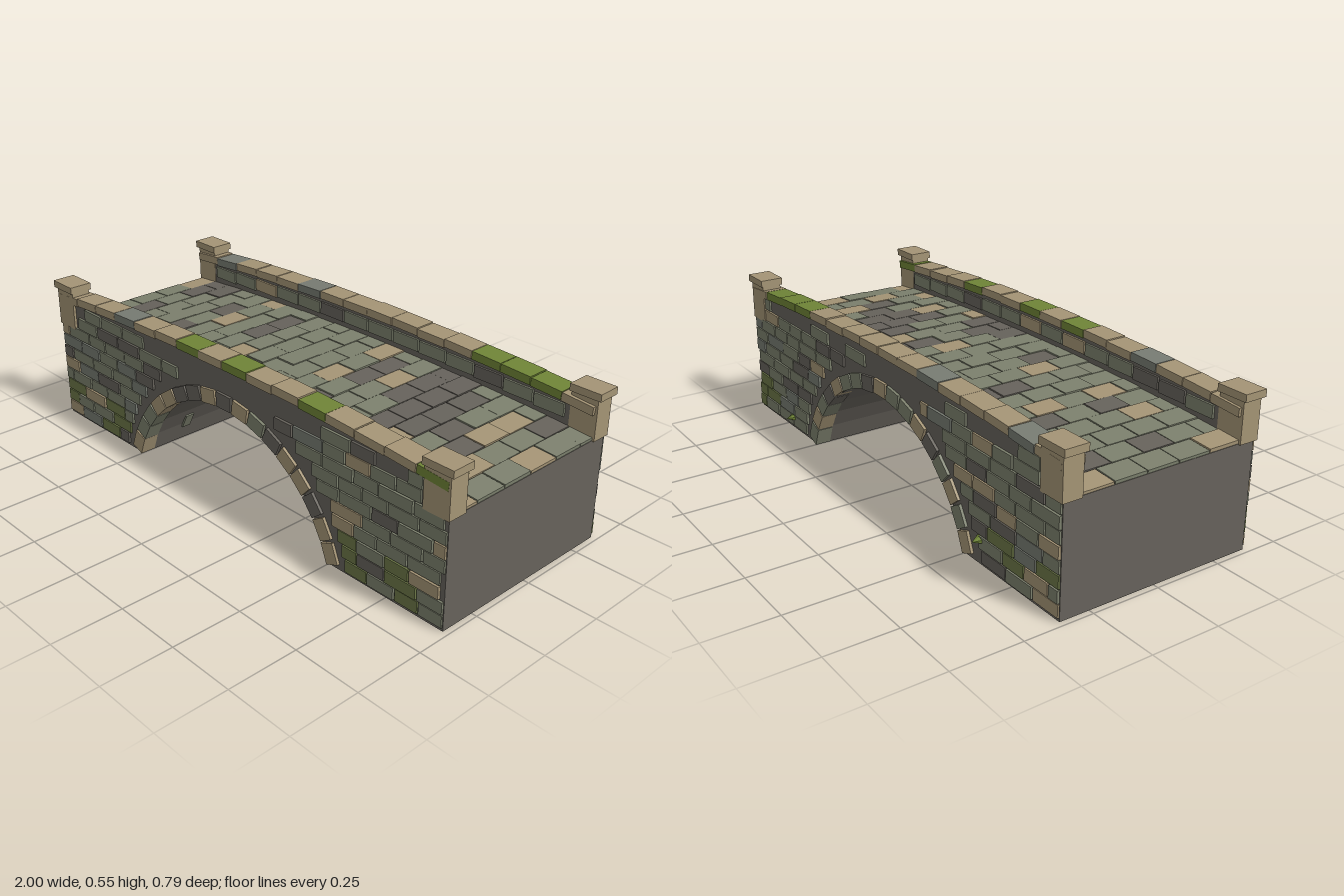
import * as THREE from 'three';
import { mergeGeometries } from 'three/addons/utils/BufferGeometryUtils.js';

const mat = (name, color) => {
  const m = new THREE.MeshStandardMaterial({ color, flatShading: true });
  m.name = name;
  return m;
};
const M = {
  d: mat('dark stone', 0x66625b),
  g: mat('grey green stone', 0x7c806d),
  t: mat('tan stone', 0xa49475),
  s: mat('slate stone', 0x777b72),
  o: mat('moss stained stone', 0x6c7747),
  m: mat('moss', 0x6f8437),
};

const HALF = 0.98, FRONT = 0.38, BACK = -0.36, MID = 0.01;
const ARCH_R = 0.523, ARCH_Y = -0.153;
const hump = x => 1 - (x / HALF) ** 2;
const deckY = x => 0.395 + 0.036 * hump(x);
const copingY = x => 0.505 + 0.04 * hump(x);

export function createModel() {
  const bridge = new THREE.Group();
  bridge.name = 'stoneBridge';
  let seed = 11;
  const rand = () => (seed = (seed * 16807) % 2147483647) / 2147483647;

  const add = (name, geo, key) => {
    const mesh = new THREE.Mesh(geo, M[key]);
    mesh.name = name;
    bridge.add(mesh);
    return mesh;
  };
  // Gathers many boxes and emits one mesh for each colour
  const masonry = name => {
    const sets = {};
    return {
      block(key, w, h, d, x, y, z, rot = 0) {
        const g = new THREE.BoxGeometry(w, h, d).rotateZ(rot).translate(x, y, z);
        (sets[key] ??= []).push(g);
      },
      build() {
        for (const k in sets) add(`${name} ${M[k].name}`, mergeGeometries(sets[k]), k);
      },
    };
  };
  const extrude = (pts, z0, z1) =>
    new THREE.ExtrudeGeometry(new THREE.Shape(pts), { depth: z1 - z0, bevelEnabled: false }).translate(0, 0, z0);
  const curve = (f, n = 16) =>
    Array.from({ length: n + 1 }, (_, i) => HALF - (2 * HALF * i) / n).map(x => new THREE.Vector2(x, f(x)));

  // Core with the arch cut through
  const half = Math.asin(0.5 / ARCH_R);
  const outline = [];
  for (let i = 0; i <= 16; i++) {
    const a = -half + (2 * half * i) / 16;
    outline.push(new THREE.Vector2(ARCH_R * Math.sin(a), Math.max(0, ARCH_R * Math.cos(a) + ARCH_Y)));
  }
  outline.push(new THREE.Vector2(HALF, 0), ...curve(x => deckY(x) - 0.01), new THREE.Vector2(-HALF, 0));
  add('core', extrude(outline, BACK, FRONT), 'd');

  // Parapet walls
  const wall = [...curve(x => copingY(x) - 0.025), ...curve(x => deckY(x) - 0.02).reverse()];
  add('frontParapet', extrude(wall, 0.318, FRONT), 'd');
  add('backParapet', extrude(wall, BACK, -0.298), 'd');

  // Deck paving: columns across the bridge, every other one staggered
  const paving = ['tgggt', 'ddgdgg', 'dgggg', 'ggggtg', 'gdgdg', 'tgtgtg', 'ggggg', 'gddggg', 'gggtg', 'ggggdg',
    'ggggg', 'gggggg', 'tgtgd', 'gddgdd', 'gtggd', 'dddggt', 'ddddg', 'gdddtg', 'ggdgg', 'gttdgt', 'dggtg', 'ggtggt'];
  const deck = masonry('paving');
  const pitch = (2 * HALF) / paving.length;
  paving.forEach((col, i) => {
    const x = -HALF + (i + 0.5) * pitch;
    const slope = Math.atan((-0.072 * x) / HALF ** 2);
    [...col].forEach((key, j) => {
      const off = col.length === 6 ? 0.06 : 0;
      const z0 = Math.max(-0.298, -0.298 + j * 0.1235 - off);
      const z1 = Math.min(0.319, -0.298 + (j + 1) * 0.1235 - off);
      deck.block(key, pitch - 0.003, 0.022, z1 - z0 - 0.003, x, deckY(x) - 0.012 + rand() * 0.004, (z0 + z1) / 2, slope);
    });
  });
  deck.build();

  // Facing bricks on both outer sides, kept clear of the arch ring and posts
  const facing = masonry('facing');
  for (const side of [1, -1]) {
    for (let row = 0; row < 10; row++) {
      const y = 0.034 + row * 0.0475;
      const limit = y > 0.37 ? 0.885 : HALF;
      let x = -HALF - (row % 2) * 0.06;
      while (x < limit) {
        const w = 0.095 + rand() * 0.045;
        let a = Math.max(x, -limit), b = Math.min(x + w, limit);
        x += w;
        const low = y - 0.022 - ARCH_Y;
        const clear = low < 0.6 ? Math.sqrt(0.36 - low * low) : 0;
        if (a + b < 0) b = Math.min(b, -clear);
        else a = Math.max(a, clear);
        const r = rand(), keep = rand();
        if (b - a < 0.045 || (row === 9 && keep > 0.4)) continue;
        let key = r < 0.13 ? 't' : r < 0.26 ? 'd' : r < 0.34 ? 's' : 'g';
        if (row < 3 && r > 0.68) key = 'o';
        const out = 0.006 + rand() * 0.004;
        facing.block(key, b - a - 0.006, 0.043, 0.03, (a + b) / 2, y, (side > 0 ? FRONT : BACK) + side * (out - 0.015));
      }
    }
    // Inner faces of the parapets
    for (let i = 0; i < 14; i++) {
      const x = -0.81 + i * 0.1246, r = rand();
      const key = r < 0.15 ? 't' : r < 0.4 ? 'd' : 'g';
      facing.block(key, 0.118, 0.045, 0.012, x, deckY(x) + 0.045, MID + side * 0.306);
    }
  }
  facing.build();

  // Arch ring stones
  const ring = masonry('archRing');
  const ringKeys = ['tggttddtdtgdttdtt', 'tgtgdtggtdggtdgtg'];
  [1, -1].forEach((side, s) => {
    for (let i = 0; i < 17; i++) {
      const a = -1.2 + (i * 2.4) / 16;
      const r = 0.546 + rand() * 0.003;
      ring.block(ringKeys[s][i], 0.074, 0.054, 0.06, r * Math.sin(a), r * Math.cos(a) + ARCH_Y,
        (side > 0 ? FRONT : BACK) - side * 0.02, -a);
    }
  });
  ring.build();

  // Coping stones along both parapets
  const coping = masonry('coping');
  const copingKeys = ['tttsttmtmttmtttm', 'tstttsttttttmmmt'];
  [1, -1].forEach((side, s) => {
    for (let i = 0; i < 16; i++) {
      const x = -0.91875 + i * 0.1225;
      const slope = Math.atan((-0.08 * x) / HALF ** 2);
      coping.block(copingKeys[s][i], 0.12, 0.03, 0.082 + rand() * 0.006, x, copingY(x) - 0.015 + (rand() - 0.5) * 0.005,
        MID + side * 0.338, slope + (rand() - 0.5) * 0.02);
    }
  });
  coping.build();

  // End posts with caps
  for (const sx of [-1, 1]) for (const sz of [-1, 1]) {
    const z = MID + sz * 0.343;
    add('post', new THREE.BoxGeometry(0.1, 0.148, 0.073), 't').position.set(sx * 0.937, 0.456, z);
    add('postCap', new THREE.BoxGeometry(0.117, 0.026, 0.087), 't').position.set(sx * 0.941, 0.54, z);
  }

  // Moss tufts on the back wall
  for (const [x, y] of [[-0.59, 0.09], [0.69, 0.046]]) {
    const tuft = add('mossTuft', new THREE.ConeGeometry(0.026, 0.04, 6).rotateX(-Math.PI / 2), 'm');
    tuft.scale.y = 0.6;
    tuft.position.set(x, y, -0.377);
  }

  // Lichen patches under the arch
  for (const [a, z] of [[-1.08, 0.2], [-0.6, -0.05], [-0.35, 0.08]]) {
    const patch = add('lichenPatch', new THREE.BoxGeometry(0.065, 0.008, 0.035), 'g');
    patch.position.set(0.519 * Math.sin(a), 0.519 * Math.cos(a) + ARCH_Y, z);
    patch.rotation.z = -a;
  }
  return bridge;
}
